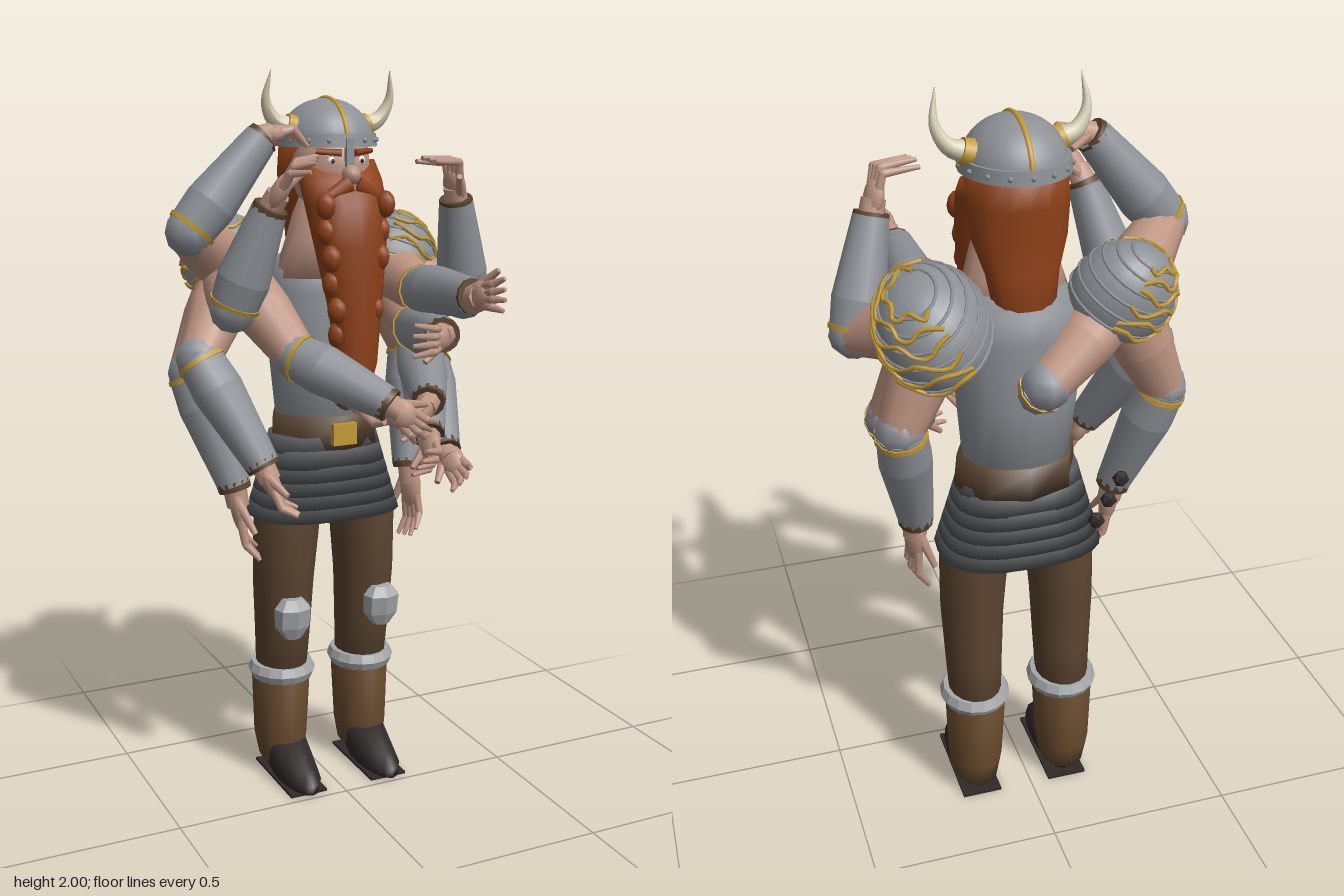
import * as THREE from 'three';

const mat = (color, flatShading = false) => new THREE.MeshStandardMaterial({ color, flatShading, side: THREE.DoubleSide });
const M = {
  metal: mat(0x8d9196), darkMetal: mat(0x55585b), gold: mat(0xc39a35), skin: mat(0xbd9482), leather: mat(0x5a4430),
  boot: mat(0x66492c), dark: mat(0x30292a), hair: mat(0x8c4018), fur: mat(0xa6a8aa, true), horn: mat(0xd3cab0), eye: mat(0xe8e4dc),
};
const V = (x, y, z) => new THREE.Vector3(x, y, z);
const CX = 0.03; // body centre line

function add(group, name, geo, material, pos, scale) {
  const m = new THREE.Mesh(geo, material);
  m.name = name;
  if (pos) m.position.set(...pos);
  if (scale) m.scale.set(...scale);
  group.add(m);
  return m;
}

// Closed loft through horizontal ellipses [y, cx, cz, rx, rz]; power below 1 squares them off
function loft(rings, n = 16, power = 1) {
  const first = rings[0], last = rings[rings.length - 1];
  const all = [[...first.slice(0, 3), 0, 0], ...rings, [...last.slice(0, 3), 0, 0]];
  const square = v => Math.sign(v) * Math.abs(v) ** power;
  const pos = [], idx = [];
  all.forEach(([y, cx, cz, rx, rz], r) => {
    for (let i = 0; i < n; i++) {
      const a = (i / n) * Math.PI * 2;
      pos.push(cx + rx * square(Math.sin(a)), y, cz + rz * square(Math.cos(a)));
      if (r === all.length - 1) continue;
      const p = r * n + i, q = r * n + (i + 1) % n;
      idx.push(p, q, q + n, p, q + n, p + n);
    }
  });
  const g = new THREE.BufferGeometry();
  g.setAttribute('position', new THREE.Float32BufferAttribute(pos, 3));
  g.setIndex(idx);
  g.computeVertexNormals();
  return g;
}

// Tapered round bar between two points
function bar(group, name, a, b, ra, rb, material, n = 12) {
  const m = add(group, name, new THREE.CylinderGeometry(rb, ra, a.distanceTo(b), n), material);
  m.position.copy(a).lerp(b, 0.5);
  m.quaternion.setFromUnitVectors(V(0, 1, 0), b.clone().sub(a).normalize());
}

// Hand from wrist to fingertips; fingers bend towards curl by the given distance
function hand(group, wrist, tip, curl, bend) {
  const h = new THREE.Group();
  h.name = 'hand';
  const d = tip.clone().sub(wrist), len = d.length();
  const y = d.normalize(), x = new THREE.Vector3().crossVectors(y, curl).normalize(), z = new THREE.Vector3().crossVectors(x, y);
  h.quaternion.setFromRotationMatrix(new THREE.Matrix4().makeBasis(x, y, z));
  h.position.copy(wrist);
  add(h, 'palm', new THREE.SphereGeometry(1, 10, 8), M.skin, [0, len * 0.3, 0], [0.038, len * 0.34, 0.024]);
  for (let i = 0; i < 4; i++) {
    const s = i - 1.5, L = len * (i === 0 ? 0.9 : 1);
    const k = V(s * 0.019, L * 0.78, 0), t = V(s * 0.026, L, bend);
    bar(h, 'finger', V(s * 0.015, len * 0.45, 0), k, 0.013, 0.011, M.skin, 6);
    add(h, 'knuckle', new THREE.SphereGeometry(0.011, 6, 5), M.skin, k.toArray());
    bar(h, 'fingertip', k, t, 0.011, 0.006, M.skin, 6);
  }
  bar(h, 'thumb', V(0.02, len * 0.2, 0), V(0.06, len * 0.62, 0.03), 0.015, 0.008, M.skin, 6);
  group.add(h);
}

// One arm: bare upper arm, elbow guard, vambrace, leather cuff, hand
function arm(group, name, shoulder, elbow, wrist, tip, curl, bend = 0.03) {
  const g = new THREE.Group();
  g.name = name;
  const [s, e, w, t] = [shoulder, elbow, wrist, tip].map(p => V(...p));
  const biceps = s.clone().lerp(e, 0.5);
  bar(g, 'upperArmTop', s, biceps, 0.08, 0.078, M.skin);
  bar(g, 'upperArmLow', biceps, e, 0.078, 0.058, M.skin);
  add(g, 'elbowGuard', new THREE.SphereGeometry(0.064, 8, 6), M.metal, elbow);
  const belly = e.clone().lerp(w, 0.3);
  bar(g, 'vambraceUpper', e, belly, 0.062, 0.069, M.metal);
  bar(g, 'vambraceLower', belly, w, 0.069, 0.046, M.metal);
  bar(g, 'elbowTrim', e.clone().lerp(w, 0.02), e.clone().lerp(w, 0.06), 0.066, 0.068, M.gold);
  bar(g, 'cuff', e.clone().lerp(w, 0.96), w.clone().lerp(t, 0.06), 0.047, 0.045, M.leather);
  bar(g, 'wrist', w, w.clone().lerp(t, 0.28), 0.033, 0.031, M.skin, 8);
  hand(g, w, t, V(...curl), bend);
  group.add(g);
}

// Layered shoulder guard with raised gold bands
function pauldron(group, centre, radii, side) {
  const g = new THREE.Group();
  g.name = side > 0 ? 'leftPauldron' : 'rightPauldron';
  g.position.set(...centre);
  g.rotation.set(-0.4, 0, -side * 0.45);
  add(g, 'shell', new THREE.SphereGeometry(1, 20, 12, 0, Math.PI * 2, 0, Math.PI * 0.62), M.metal, null, radii);
  for (let i = 0; i < 6; i++) {
    const pts = [], lat = 0.45 + i * 0.26;
    for (let j = 0; j <= 14; j++) {
      const a = -2.0 + j * 0.286, th = lat + 0.09 * Math.sin(j * 1.7 + i * 2), r = 1.02;
      pts.push(V(side * radii[0] * r * Math.sin(th) * Math.cos(a), radii[1] * r * Math.cos(th), radii[2] * r * Math.sin(th) * Math.sin(a)));
    }
    add(g, 'goldBand', new THREE.TubeGeometry(new THREE.CatmullRomCurve3(pts), 28, 0.006, 5), M.gold);
    add(g, 'lameRidge', new THREE.TorusGeometry(Math.sin(lat), 0.03, 5, 24).rotateX(Math.PI / 2), M.metal,
      [0, radii[1] * Math.cos(lat), 0], radii);
  }
  group.add(g);
}

// Curved tapering horn
function horn(group, side) {
  const z = -0.185 - side * 0.018;
  const curve = new THREE.CatmullRomCurve3([
    V(CX + side * 0.112, 1.855, z), V(CX + side * 0.158, 1.872, z), V(CX + side * 0.187, 1.92, z + 0.01), V(CX + side * 0.18, 2.0, z + 0.03)]);
  const geo = new THREE.TubeGeometry(curve, 14, 0.028, 10), p = geo.attributes.position;
  for (let i = 0; i <= 14; i++) {
    const c = curve.getPointAt(i / 14), k = 1 - 0.95 * (i / 14);
    for (let j = 0; j <= 10; j++) {
      const v = V(0, 0, 0).fromBufferAttribute(p, i * 11 + j).sub(c).multiplyScalar(k).add(c);
      p.setXYZ(i * 11 + j, v.x, Math.min(v.y, 2), v.z);
    }
  }
  geo.computeVertexNormals();
  add(group, 'horn', geo, M.horn);
  bar(group, 'hornSocket', V(CX + side * 0.1, 1.85, z), V(CX + side * 0.13, 1.861, z), 0.036, 0.031, M.gold);
}

export function createModel() {
  const model = new THREE.Group();
  model.name = 'hornedManyArmedWarrior';

  // Legs, boots, knee guards
  for (const s of [-1, 1]) {
    const leg = new THREE.Group(), x = 0.02 + s * 0.126;
    leg.name = s > 0 ? 'leftLeg' : 'rightLeg';
    add(leg, 'trousers', loft([[0.3, x, -0.225, 0.07, 0.083], [0.45, x, -0.21, 0.077, 0.092],
      [0.6, x, -0.2, 0.084, 0.1], [0.79, x - s * 0.01, -0.192, 0.092, 0.108], [0.92, x - s * 0.04, -0.2, 0.07, 0.09]]), M.leather);
    add(leg, 'boot', loft([[0.05, x + s * 0.002, -0.225, 0.062, 0.085], [0.12, x + s * 0.003, -0.228, 0.074, 0.092], [0.33, x, -0.225, 0.084, 0.092]]), M.boot);
    add(leg, 'furCuff', new THREE.TorusGeometry(0.08, 0.02, 6, 16).rotateX(Math.PI / 2), M.fur, [x, 0.325, -0.22], [0.96, 1.3, 1.04]);
    add(leg, 'shoe', loft([[0.015, x, -0.135, 0.05, 0.14], [0.04, x, -0.14, 0.06, 0.145], [0.07, x, -0.165, 0.058, 0.125],
      [0.115, x, -0.21, 0.058, 0.08]]), M.dark);
    add(leg, 'sole', new THREE.BoxGeometry(0.11, 0.008, 0.27), M.dark, [x, 0.008, -0.16]);
    add(leg, 'kneeGuard', loft([[0.455, x + s * 0.012, -0.105, 0.025, 0.02], [0.49, x + s * 0.012, -0.105, 0.052, 0.036],
      [0.545, x + s * 0.012, -0.1, 0.054, 0.042], [0.572, x + s * 0.012, -0.105, 0.03, 0.025]], 7), M.fur);
    model.add(leg);
  }

  // Skirt of overlapping plates
  for (let i = 0; i < 6; i++) {
    const y = 0.795 + i * 0.036, k = 1 - i * 0.048;
    add(model, 'skirtPlate', loft([[y, CX - 0.01, -0.205, 0.218 * k, 0.155 * k], [y + 0.05, CX - 0.01, -0.205, 0.2 * k, 0.143 * k]], 24, 0.75), M.darkMetal);
  }
  add(model, 'belt', loft([[0.99, CX, -0.21, 0.162, 0.135], [1.08, CX, -0.215, 0.155, 0.135]], 8), M.leather);
  add(model, 'buckle', new THREE.BoxGeometry(0.07, 0.06, 0.02), M.gold, [CX, 1.035, -0.08]);

  // Breastplate and shoulders
  add(model, 'breastplate', loft([[1.06, CX, -0.22, 0.138, 0.115], [1.25, CX, -0.225, 0.155, 0.128], [1.42, CX, -0.225, 0.17, 0.128],
    [1.48, CX, -0.225, 0.155, 0.118], [1.52, CX, -0.22, 0.12, 0.09]], 18), M.metal);
  add(model, 'neck', loft([[1.46, CX, -0.2, 0.15, 0.1], [1.56, CX, -0.185, 0.12, 0.085], [1.7, CX, -0.175, 0.08, 0.075]]), M.skin);
  pauldron(model, [0.253, 1.465, -0.28], [0.137, 0.155, 0.165], 1);
  pauldron(model, [-0.215, 1.49, -0.275], [0.132, 0.145, 0.117], -1);

  // Head
  add(model, 'face', new THREE.SphereGeometry(1, 18, 12), M.skin, [CX - 0.003, 1.75, -0.165], [0.108, 0.13, 0.118]);
  add(model, 'nose', new THREE.SphereGeometry(1, 10, 8), M.skin, [CX, 1.735, -0.035], [0.024, 0.026, 0.03]);
  for (const s of [-1, 1]) {
    add(model, 'eye', new THREE.SphereGeometry(0.014, 10, 8), M.eye, [CX + s * 0.042, 1.77, -0.069]);
    add(model, 'pupil', new THREE.SphereGeometry(0.006, 8, 6), M.dark, [CX + s * 0.042, 1.77, -0.058]);
    bar(model, 'eyebrow', V(CX + s * 0.018, 1.79, -0.055), V(CX + s * 0.08, 1.795, -0.08), 0.011, 0.007, M.hair, 6);
    bar(model, 'moustache', V(CX + s * 0.01, 1.71, -0.03), V(CX + s * 0.09, 1.67, -0.025), 0.026, 0.012, M.hair, 8);
  }
  add(model, 'hair', loft([[1.48, CX, -0.285, 0.075, 0.045], [1.58, CX, -0.262, 0.092, 0.055], [1.66, CX, -0.235, 0.118, 0.082],
    [1.74, CX, -0.22, 0.126, 0.098], [1.82, CX, -0.21, 0.122, 0.108]]), M.hair);
  add(model, 'beard', loft([[1.18, CX + 0.01, -0.01, 0.035, 0.025], [1.24, CX + 0.01, -0.02, 0.056, 0.045], [1.4, CX + 0.01, -0.035, 0.076, 0.06],
    [1.55, CX + 0.005, -0.05, 0.1, 0.075], [1.66, CX, -0.07, 0.113, 0.085], [1.72, CX, -0.1, 0.118, 0.07], [1.77, CX, -0.14, 0.118, 0.05]]), M.hair);
  for (const s of [-1, 1]) for (let i = 0; i < 6; i++) {
    add(model, 'beardCurl', new THREE.SphereGeometry(1, 8, 6), M.hair, [CX + s * (0.086 - i * 0.008), 1.66 - i * 0.068, -0.007 - (i % 2) * 0.015], [0.028, 0.036, 0.026]);
  }

  // Horned helmet
  add(model, 'helmetDome', new THREE.SphereGeometry(1, 24, 10, 0, Math.PI * 2, 0, Math.PI / 2), M.metal, [CX - 0.003, 1.815, -0.187], [0.126, 0.115, 0.137]);
  add(model, 'helmetRim', new THREE.CylinderGeometry(1, 1.03, 0.034, 24), M.metal, [CX - 0.003, 1.822, -0.187], [0.131, 1, 0.142]);
  add(model, 'helmetCrest', new THREE.TorusGeometry(1, 0.05, 6, 24, Math.PI).rotateY(Math.PI / 2), M.gold, [CX - 0.003, 1.818, -0.187], [0.14, 0.113, 0.135]);
  add(model, 'noseGuard', new THREE.BoxGeometry(0.022, 0.085, 0.016), M.metal, [CX, 1.785, -0.045]);
  for (let i = 0; i < 16; i++) {
    const a = (i / 16) * Math.PI * 2;
    add(model, 'rivet', new THREE.SphereGeometry(0.007, 6, 5), M.metal, [CX - 0.003 + 0.134 * Math.sin(a), 1.822, -0.187 + 0.145 * Math.cos(a)]);
  }
  horn(model, -1);
  horn(model, 1);

  // Left arms: shoulder, elbow, wrist, fingertips, curl direction, finger bend
  const L = [0.24, 1.46, -0.26], R = [-0.22, 1.48, -0.26];
  arm(model, 'leftArmForward', L, [0.225, 1.43, -0.02], [0.205, 1.45, 0.3], [0.2, 1.47, 0.44], [1, 0, 0], 0.015);
  arm(model, 'leftArmMiddle', L, [0.24, 1.32, -0.07], [0.18, 1.34, 0.2], [0.1, 1.34, 0.29], [-1, 0, -0.6], 0.05);
  arm(model, 'leftArmRaised', L, [0.405, 1.39, -0.09], [0.335, 1.66, -0.02], [0.3, 1.8, 0.01], [-1, -0.2, 0.2], 0.09);
  arm(model, 'leftArmHanging', L, [0.345, 1.22, -0.3], [0.29, 0.9, -0.195], [0.3, 0.69, -0.17], [-1, 0, 0.3]);
  arm(model, 'leftArmLow', L, [0.345, 1.2, -0.19], [0.26, 1.0, 0.07], [0.27, 0.93, 0.19], [-0.6, 0.5, 0]);
  arm(model, 'leftArmInner', L, [0.32, 1.22, -0.17], [0.21, 1.05, 0.07], [0.17, 0.98, 0.19], [-1, 0.3, 0], 0.05);
  arm(model, 'leftArmCrossed', L, [0.3, 1.24, -0.16], [0.19, 1.15, 0.11], [0.09, 1.1, 0.21], [-1, 0, -0.5]);

  // Right arms
  arm(model, 'rightArmSaluting', R, [-0.395, 1.6, -0.1], [-0.2, 1.83, -0.085], [-0.09, 1.86, -0.09], [0, -1, 0], 0.05);
  arm(model, 'rightArmRaised', R, [-0.31, 1.41, -0.02], [-0.235, 1.66, 0.05], [-0.18, 1.8, 0.13], [1, -0.3, 0.5], 0.04);
  arm(model, 'rightArmHanging', R, [-0.35, 1.21, -0.25], [-0.26, 0.9, -0.17], [-0.23, 0.69, -0.15], [1, 0, 0.3]);
  arm(model, 'rightArmLow', R, [-0.37, 1.27, -0.12], [-0.25, 1.0, 0.02], [-0.2, 0.86, 0.07], [1, 0, 0.5]);
  arm(model, 'rightArmCrossed', R, [-0.13, 1.27, -0.03], [0.03, 1.17, 0.19], [0.12, 1.09, 0.24], [0.3, 0, -1]);
  arm(model, 'rightArmBehindBack', R, [0, 1.32, -0.36], [0.05, 1.14, -0.08], [0.1, 1.07, 0.07], [0, 1, 0]);

  // Loose studs behind the belt
  for (let i = 0; i < 3; i++) {
    add(model, 'stud', new THREE.IcosahedronGeometry(0.022, 0), M.dark, [-0.18 + i * 0.03, 1.06 - i * 0.055, -0.415]);
  }
  return model;
}
